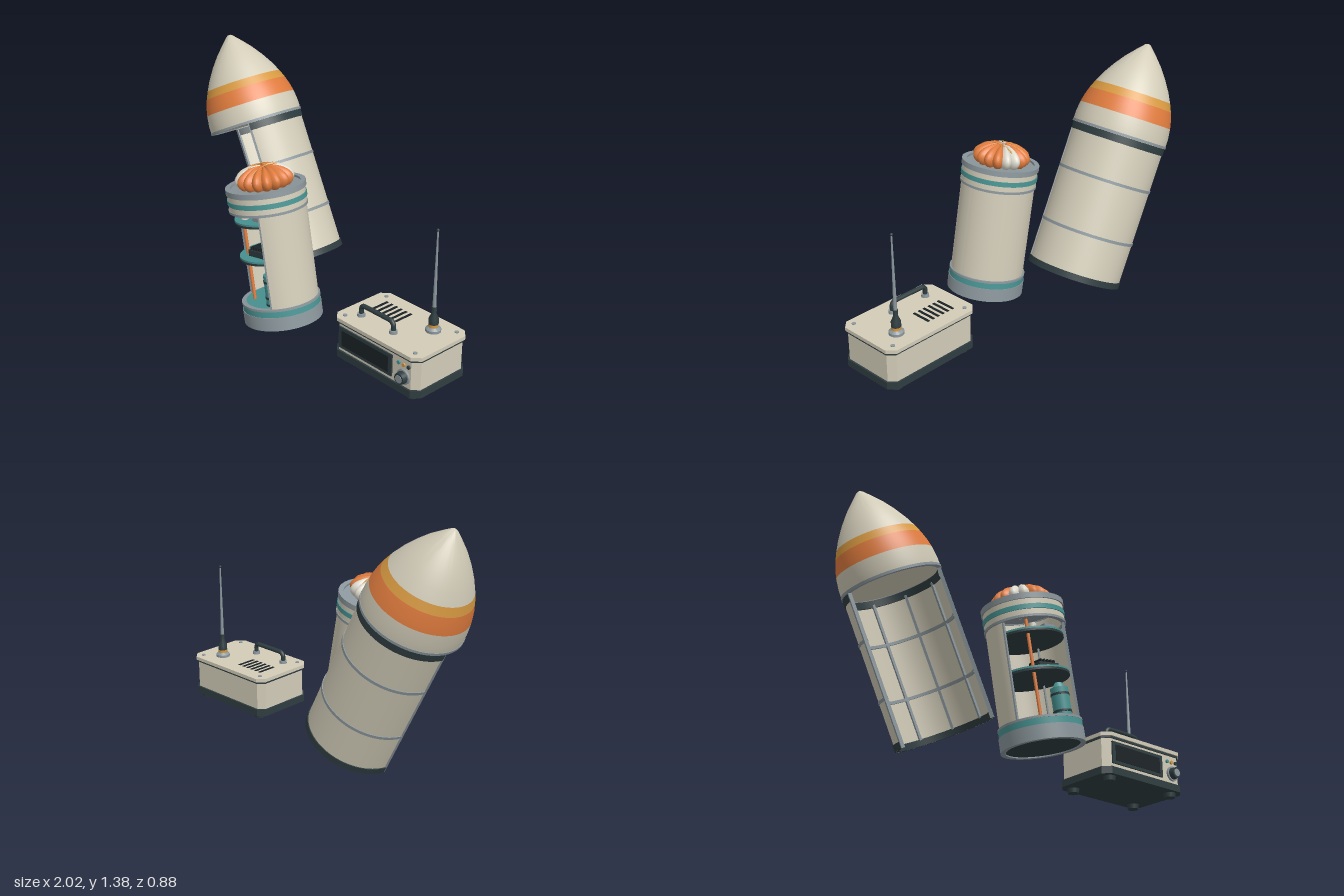
import * as THREE from 'three';
import { toCreasedNormals } from 'three/addons/utils/BufferGeometryUtils.js';

const rad = THREE.MathUtils.degToRad;
const mat = (name, color) => {
  const m = new THREE.MeshStandardMaterial({ color, side: THREE.DoubleSide });
  m.name = name;
  return m;
};
const cream = mat('cream', 0xd2ccb8), grey = mat('grey', 0x8c989d), dark = mat('dark slate', 0x2f3d40),
  teal = mat('teal', 0x4a9695), orange = mat('orange', 0xe07c3e), amber = mat('amber', 0xd89a42),
  white = mat('off white', 0xdedace), black = mat('black', 0x1b2326);

function add(parent, name, geo, material, x = 0, y = 0, z = 0) {
  const m = new THREE.Mesh(geo, material);
  m.name = name;
  m.position.set(x, y, z);
  parent.add(m);
  return m;
}
const box = (w, h, d) => new THREE.BoxGeometry(w, h, d);
const cyl = (r0, r1, h, n = 24) => new THREE.CylinderGeometry(r1, r0, h, n);
const lathe = (pts, from = 0, sweep = 360, n = 72) => toCreasedNormals(new THREE.LatheGeometry(
  pts.map(p => new THREE.Vector2(...p)), n, rad(from), rad(sweep)), 0.6);
// Ring of rectangular section; angles in degrees run from +z towards +x
const ring = (r0, r1, y0, y1, from, sweep) =>
  lathe([[r0, y0], [r1, y0], [r1, y1], [r0, y1], [r0, y0]], from, sweep);
// Slab with cut corners, standing on y = 0
function chamferSlab(w, h, d, c) {
  const x = w / 2, z = d / 2;
  const s = new THREE.Shape([[x, z - c], [x - c, z], [c - x, z], [-x, z - c], [-x, c - z], [c - x, -z],
    [x - c, -z], [x, c - z]].map(p => new THREE.Vector2(...p)));
  return new THREE.ExtrudeGeometry(s, { depth: h, bevelEnabled: false }).rotateX(-Math.PI / 2);
}
// Upright strip at an angle around an axis
function strip(parent, name, material, r, deg, w, d, y0, y1) {
  const a = rad(deg);
  add(parent, name, box(w, y1 - y0, d), material, r * Math.sin(a), (y0 + y1) / 2, r * Math.cos(a)).rotation.y = a;
}

function createFairing() {
  const g = new THREE.Group();
  g.name = 'fairing';
  const F = 45, S = 217, H = 0.83;
  // Open shell with end rings, bands and inner frames
  add(g, 'shell', ring(0.256, 0.264, 0, H, F, S), cream);
  add(g, 'lowerRing', ring(0.246, 0.269, 0, 0.035, F, S), dark);
  add(g, 'upperRing', ring(0.246, 0.269, 0.785, 0.825, F, S), dark);
  for (const y of [0.26, 0.57]) {
    add(g, 'outerBand', ring(0.263, 0.268, y - 0.008, y + 0.008, F, S), grey);
    add(g, 'innerFrame', ring(0.244, 0.257, y - 0.008, y + 0.008, F, S), grey);
  }
  for (const a of [85, 128, 171, 214]) strip(g, 'stringer', grey, 0.25, a, 0.014, 0.014, 0.03, 0.8);
  for (const a of [F, F + S]) strip(g, 'edgeRail', grey, 0.258, a, 0.012, 0.02, 0, H);
  // Pointed nose with painted bands
  const nose = new THREE.Group();
  nose.name = 'nose';
  nose.position.y = H;
  g.add(nose);
  add(nose, 'noseRim', ring(0.25, 0.273, -0.004, 0.01), grey);
  add(nose, 'bulkhead', cyl(0.268, 0.268, 0.006, 72), cream, 0, 0.002);
  add(nose, 'noseSkirt', lathe([[0.27, 0.01], [0.27, 0.05], [0.263, 0.11]]), cream);
  add(nose, 'orangeBand', lathe([[0.263, 0.11], [0.253, 0.155], [0.238, 0.2]]), orange);
  add(nose, 'amberBand', lathe([[0.238, 0.2], [0.219, 0.245]]), amber);
  add(nose, 'noseTip', lathe([[0.219, 0.245], [0.188, 0.305], [0.15, 0.365], [0.105, 0.425], [0.055, 0.48],
    [0.018, 0.518], [0.008, 0.524], [0, 0.526]]), cream);
  g.position.set(-0.343, 0.167, -0.17);
  g.rotation.z = rad(26.4);
  return g;
}

function createParachute() {
  const g = new THREE.Group();
  g.name = 'parachute';
  const n = 16, step = Math.PI * 2 / n;
  for (let i = 0; i < n; i++) {
    // One puffed gore: bulge the middle of each sphere segment
    const geo = new THREE.SphereGeometry(1, 8, 18, i * step, step);
    const p = geo.attributes.position, uv = geo.attributes.uv;
    for (let k = 0; k < p.count; k++) {
      const u = (k % 9) / 8, s = 0.88 + 0.14 * Math.sin(Math.PI * u);
      const dip = 1 - 0.12 * Math.exp(-Math.pow(Math.hypot(p.getX(k), p.getZ(k)) / 0.2, 2));
      p.setXYZ(k, p.getX(k) * s * 0.157, p.getY(k) * s * dip * 0.075, p.getZ(k) * s * 0.157);
    }
    geo.computeVertexNormals();
    add(g, 'gore', geo, [1, 2, 10, 11].includes(i) ? white : orange);
  }
  // Packing straps over the crown
  for (const x of [-0.035, 0.035]) {
    const strap = add(g, 'strap', new THREE.TorusGeometry(0.13, 0.004, 6, 32, Math.PI), amber, x, 0, 0);
    strap.rotation.y = Math.PI / 2;
    strap.scale.y = 0.57;
  }
  return g;
}

function createCanister() {
  const g = new THREE.Group();
  g.name = 'canister';
  const F = 36, S = 249;
  // Wall with a window, closed collars above and below
  add(g, 'wall', ring(0.197, 0.205, 0.05, 0.7, F, S), cream);
  add(g, 'baseRing', ring(0.19, 0.216, 0, 0.075), grey);
  add(g, 'baseTealBand', ring(0.19, 0.213, 0.075, 0.108), teal);
  add(g, 'baseLip', ring(0.19, 0.215, 0.108, 0.12), grey);
  add(g, 'bottomDisc', cyl(0.2, 0.2, 0.012, 64), dark, 0, 0.012);
  add(g, 'collarLip', ring(0.19, 0.213, 0.63, 0.643), grey);
  add(g, 'collar', ring(0.19, 0.209, 0.643, 0.73), cream);
  add(g, 'topTealBand', ring(0.2, 0.214, 0.672, 0.698), teal);
  add(g, 'topRim', ring(0.188, 0.216, 0.728, 0.758), grey);
  add(g, 'lid', cyl(0.2, 0.2, 0.012, 64), grey, 0, 0.74);
  for (const a of [F, F + S]) strip(g, 'windowRail', grey, 0.2, a, 0.008, 0.014, 0.12, 0.63);
  // Equipment decks
  for (const y of [0.11, 0.37, 0.575]) {
    add(g, 'deckPlate', cyl(0.19, 0.19, 0.01, 64), teal, 0, y + 0.005);
    add(g, 'deckEdge', cyl(0.191, 0.191, 0.012, 64), dark, 0, y - 0.006);
  }
  add(g, 'rodFront', cyl(0.009, 0.009, 0.53, 12), orange, -0.09, 0.375, 0.11);
  add(g, 'rodBack', cyl(0.008, 0.008, 0.53, 12), orange, -0.1, 0.375, -0.1);
  add(g, 'rodSide', cyl(0.006, 0.006, 0.53, 12), grey, 0.13, 0.375, -0.06);
  // Deck contents
  add(g, 'tank', cyl(0.046, 0.046, 0.16, 28), teal, 0.075, 0.21, 0.1);
  for (const y of [0.125, 0.165, 0.255]) add(g, 'tankBand', cyl(0.048, 0.048, 0.012, 28), dark, 0.075, y, 0.1);
  add(g, 'tankCap', cyl(0.035, 0.018, 0.03, 24), teal, 0.075, 0.305, 0.1);
  add(g, 'electronics', box(0.13, 0.035, 0.1), dark, 0.005, 0.397, 0.08);
  for (let i = 0; i < 5; i++) add(g, 'coolingFin', box(0.008, 0.018, 0.09), black, -0.04 + i * 0.022, 0.423, 0.08);
  add(g, 'instrument', box(0.07, 0.045, 0.06), grey, 0.05, 0.603, 0.1);
  add(g, 'sensor', cyl(0.02, 0.02, 0.035, 20), white, -0.06, 0.6, 0.12);
  const chute = createParachute();
  chute.position.y = 0.788;
  g.add(chute);
  g.position.set(-0.018, 0.06, 0.218);
  g.rotation.z = rad(10.6);
  return g;
}

function createRadio() {
  const g = new THREE.Group();
  g.name = 'radio';
  // Case, lid, base and feet
  add(g, 'base', chamferSlab(0.6, 0.04, 0.385, 0.04), dark, 0, 0.025);
  add(g, 'case', chamferSlab(0.58, 0.16, 0.365, 0.035), cream, 0, 0.065);
  add(g, 'seal', chamferSlab(0.59, 0.012, 0.375, 0.037), dark, 0, 0.223);
  add(g, 'lid', chamferSlab(0.6, 0.02, 0.39, 0.04), cream, 0, 0.235);
  for (const x of [-0.23, 0.23]) for (const z of [-0.14, 0.14])
    add(g, 'foot', cyl(0.03, 0.034, 0.028, 20), dark, x, 0.014, z);
  for (const x of [-0.247, 0.247]) for (const z of [-0.15, 0.15])
    add(g, 'screw', cyl(0.011, 0.011, 0.006, 14), grey, x, 0.257, z);
  // Front panel
  add(g, 'displayFrame', box(0.38, 0.122, 0.012), dark, -0.06, 0.146, 0.185);
  add(g, 'display', box(0.335, 0.088, 0.006), black, -0.06, 0.146, 0.19);
  const knob = new THREE.Group();
  knob.name = 'knob';
  knob.position.set(0.21, 0.122, 0.182);
  knob.rotation.x = Math.PI / 2;
  g.add(knob);
  add(knob, 'knobRing', cyl(0.041, 0.041, 0.012, 28), grey, 0, 0.006);
  add(knob, 'knobGrip', cyl(0.034, 0.03, 0.034, 28), dark, 0, 0.022);
  add(knob, 'knobFace', cyl(0.021, 0.021, 0.004, 24), grey, 0, 0.04);
  [teal, amber, dark].forEach((m, i) =>
    add(g, 'button', cyl(0.01, 0.01, 0.012, 14), m, 0.175 + i * 0.033, 0.188, 0.185).rotation.x = Math.PI / 2);
  // Vents and carrying handle
  for (let i = 0; i < 6; i++) add(g, 'vent', box(0.014, 0.006, 0.115), black, -0.2 + i * 0.034, 0.255, -0.055);
  const pts = [[-0.115, 0.255], [-0.115, 0.3], [-0.095, 0.318], [0.095, 0.318], [0.115, 0.3], [0.115, 0.255]];
  const path = new THREE.CatmullRomCurve3(pts.map(p => new THREE.Vector3(p[0], p[1], 0)), false, 'catmullrom', 0.15);
  add(g, 'handle', new THREE.TubeGeometry(path, 48, 0.013, 10), dark, -0.075, 0, 0.09);
  for (const x of [-0.115, 0.115]) add(g, 'handleMount', cyl(0.022, 0.02, 0.018, 18), grey, x - 0.075, 0.263, 0.09);
  // Whip antenna
  const a = new THREE.Group();
  a.name = 'antenna';
  a.position.set(0.157, 0.255, -0.075);
  g.add(a);
  add(a, 'antennaBase', lathe([[0.04, 0], [0.04, 0.014], [0.027, 0.026], [0, 0.026]]), grey);
  add(a, 'antennaCollar', cyl(0.026, 0.026, 0.016), amber, 0, 0.034);
  add(a, 'antennaSleeve', lathe([[0.026, 0.042], [0.026, 0.07], [0.013, 0.1], [0.013, 0.137], [0, 0.137]]), dark);
  add(a, 'antennaRod', cyl(0.01, 0.004, 0.42, 12), grey, 0, 0.345);
  add(a, 'antennaTip', new THREE.SphereGeometry(0.008, 12, 8), dark, 0, 0.556);
  g.position.set(0.698, 0, 0.05);
  return g;
}

export function createModel() {
  const model = new THREE.Group();
  model.name = 'rocketRecoverySet';
  model.add(createFairing(), createCanister(), createRadio());
  return model;
}
